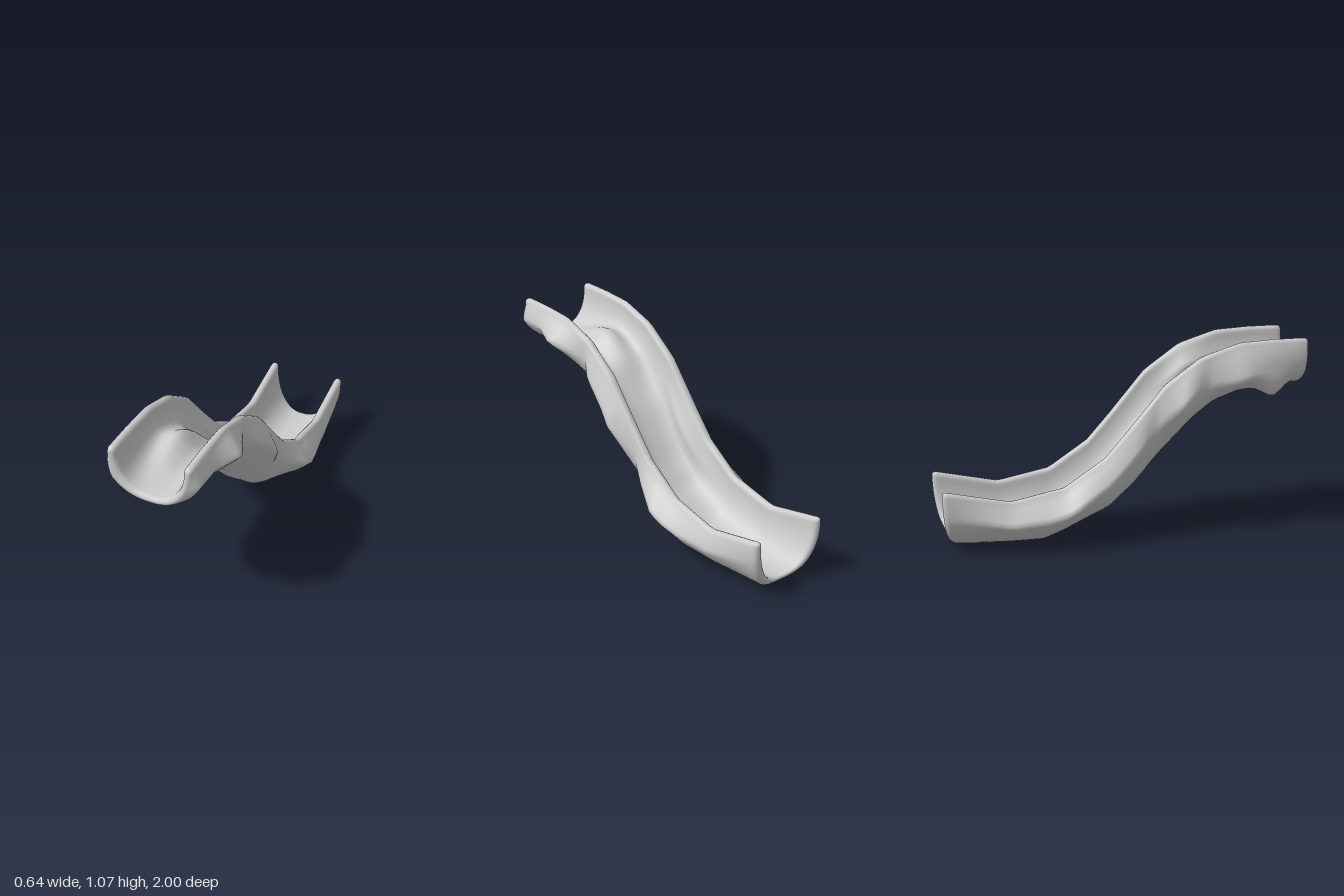
import * as THREE from 'three';
import { mergeVertices } from 'three/addons/utils/BufferGeometryUtils.js';

// Piecewise-linear profiles along z: [z, value]
const RIM = [[-1, .36], [-.64, .28], [-.35, .335], [-.13, .48], [0, .625], [.2, .86], [.4, 1], [.61, 1.065], [.8, 1.075], [1, 1.075]];
const BELLY = [[-1, .022], [-.9, .016], [-.45, .003], [-.08, .155], [.07, .29], [.18, .42], [.38, .62], [.5, .72], [.62, .77], [.8, .795], [1, .8]];
const FLOOR = [[-1, .068], [-.64, .055], [-.35, .1], [-.13, .225], [0, .345], [.2, .58], [.4, .765], [.6, .835], [.8, .84], [1, .84]];
const LEFT = [[-1, .216], [-.6, .26], [-.27, .325], [-.02, .222], [.13, .297], [.35, .265], [.42, .222], [.63, .325], [.8, .26], [.975, .255], [.988, .216], [1, .216]];
const RIGHT = [[-1, .216], [-.63, .295], [-.3, .328], [-.1, .28], [.05, .265], [.13, .235], [.3, .297], [.42, .235], [.63, .295], [.8, .25], [.98, .216], [1, .216]];
// Angle below the rim, in degrees, where the right side of the shell is widest
const RIGHT_PEAK = [[-1, 24], [.35, 22], [.55, 38], [1, 40]];

function at(table, z) {
  let i = 1;
  while (i < table.length - 1 && z > table[i][0]) i++;
  const [z0, v0] = table[i - 1], [z1, v1] = table[i];
  return v0 + (v1 - v0) * THREE.MathUtils.clamp((z - z0) / (z1 - z0), 0, 1);
}
const bell = (v, centre, width) => Math.exp(-(((v - centre) / width) ** 2));

const N = 40;        // steps across the U
const CROWN = 5;     // points over each rounded rim
const EDGE = 0.205;  // rim centre line
const R = 0.023;     // rim radius

// Closed U-shaped ring at z; shrink pulls it to its middle line to round the ends
function section(z, shrink) {
  const top = at(RIM, z) - R, belly = at(BELLY, z), floor = at(FLOOR, z);
  const outer = [], inner = [];
  for (let k = 0; k <= N; k++) {
    const a = Math.PI * k / N, side = k <= N / 2 ? 1 : -1;
    const c = Math.abs(Math.cos(a)) ** 0.8, s = Math.sin(a);
    const t = Math.min(a, Math.PI - a) * 180 / Math.PI;
    // uneven outer shell, widest part of the way down
    const peak = side > 0 ? 22 : at(RIGHT_PEAK, z);
    const swell = t < peak ? t / peak : Math.max(0, 1 - (t - peak) / (side > 0 ? 38 : 44));
    const w = at(side > 0 ? LEFT : RIGHT, z);
    const base = (EDGE + R) * Math.cos(peak * Math.PI / 180) ** 0.8;
    // local lumps on the underside near the upper end
    const corner = side < 0 ? bell(t, 52, 13) * bell(z, 0.8, 0.08) : 0;
    const x0 = side * (c * (EDGE + R) + (w - base) * swell + 0.03 * corner);
    const sag = 0.05 * bell(x0, 0.1, 0.07) * bell(z, 0.58, 0.1) + 0.075 * corner;
    outer.push([x0, top - (top - belly) * s - sag]);
    // channel with soft dents in the walls and a long swelling on the floor
    const pinch = Math.max(0, 1 - Math.abs(t - 26) / 30);
    const dent = side > 0 ? 0.045 * bell(z, 0.42, 0.12) : 0.045 * bell(z, 0, 0.16);
    const x = side * (c * (EDGE - R) - dent * pinch);
    const hump = 0.1 * bell(x, -0.05, 0.08) * bell(z, 0.56, z > 0.56 ? 0.23 : 0.18);
    inner.push([x, top - (top - floor) * s + hump]);
  }
  const ring = [];
  const add = (p, m) => {
    const x = m[0] + (p[0] - m[0]) * shrink, y = m[1] + (p[1] - m[1]) * shrink;
    // lower end is cut back towards the bottom
    const depth = THREE.MathUtils.clamp((top - y) / (top - belly), 0, 1);
    const ramp = THREE.MathUtils.clamp((-z - 0.6) / 0.4, 0, 1);
    ring.push([x, y, z + (0.045 * depth ** 2 + 0.035 * depth ** 8) * ramp]);
  };
  const mid = k => [(outer[k][0] + inner[k][0]) / 2, (outer[k][1] + inner[k][1]) / 2];
  const crown = side => {
    for (let i = 1; i <= CROWN; i++) {
      const a = Math.PI * i / (CROWN + 1);
      add([side * EDGE - R * Math.cos(a), top + R * Math.sin(a)], [side * EDGE, top]);
    }
  };
  for (let k = 0; k <= N; k++) add(outer[k], mid(k));
  crown(-1);
  for (let k = N; k >= 0; k--) add(inner[k], mid(k));
  crown(1);
  return ring;
}

// Skin a list of rings into one smooth surface
function loft(rings) {
  const n = rings[0].length, index = [];
  for (let j = 0; j < rings.length - 1; j++) {
    for (let i = 0; i < n; i++) {
      const a = j * n + i, b = j * n + (i + 1) % n, c = b + n, d = a + n;
      index.push(a, d, c, a, c, b);
    }
  }
  const g = new THREE.BufferGeometry();
  g.setAttribute('position', new THREE.Float32BufferAttribute(rings.flat(2), 3));
  g.setIndex(index);
  const merged = mergeVertices(g, 1e-5);
  merged.computeVertexNormals();
  return merged;
}

export function createModel() {
  const group = new THREE.Group();
  group.name = 'slide';

  // rounded lips at both ends, even stations between
  const stations = [[-1, 0], [-.997, .5], [-.988, .85], [-.975, 1]];
  for (let i = 1; i < 60; i++) stations.push([-.975 + 1.95 * i / 60, 1]);
  stations.push([.975, 1], [.988, .85], [.997, .5], [1, 0]);

  const chute = new THREE.Mesh(
    loft(stations.map(([z, s]) => section(z, s))),
    new THREE.MeshStandardMaterial({ color: 0xcccccc, side: THREE.DoubleSide })
  );
  chute.name = 'slideChute';
  group.add(chute);
  return group;
}
